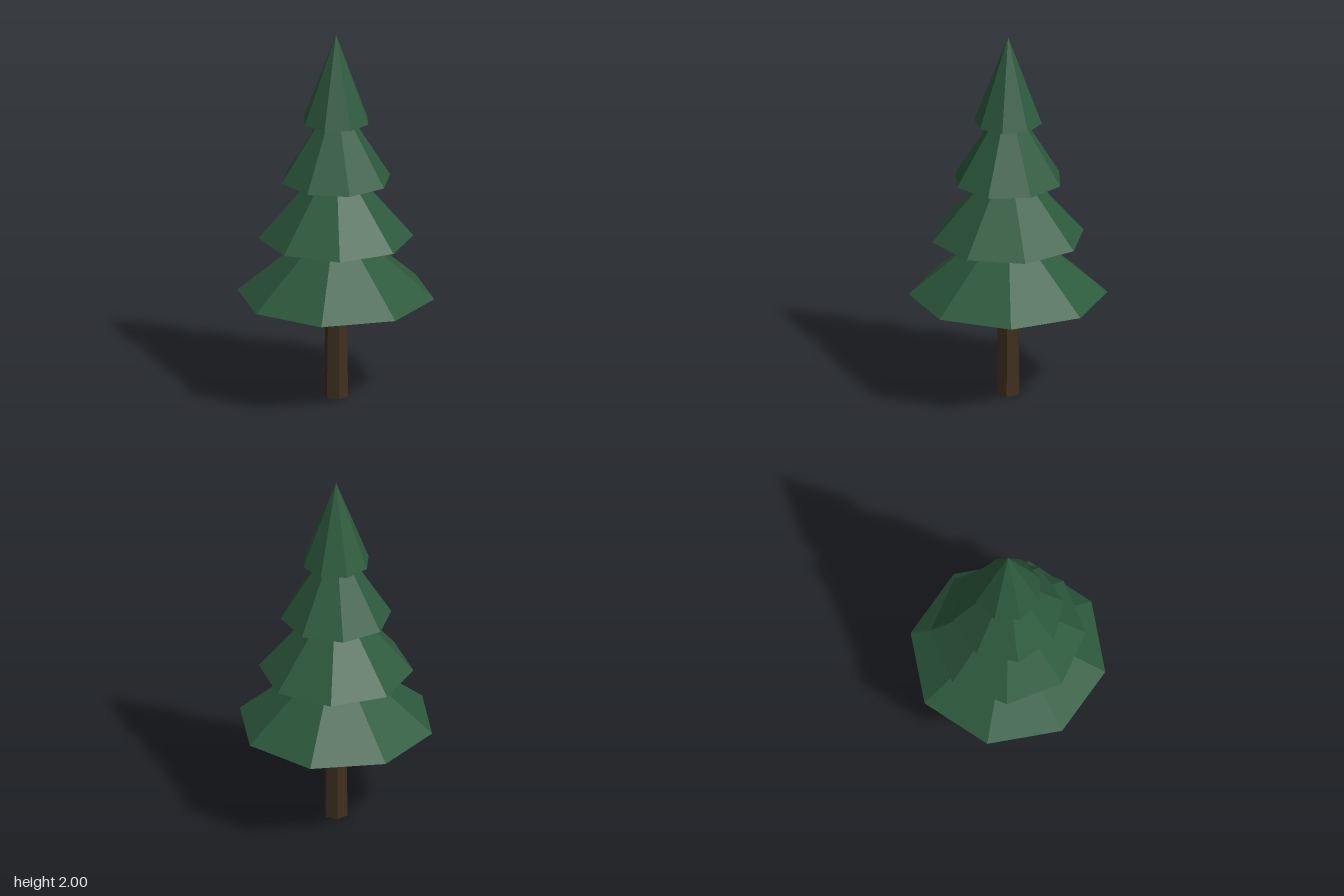
import * as THREE from 'three';

const needles = new THREE.MeshStandardMaterial({ color: 0x2d5a3d, flatShading: true });
needles.name = 'needleGreen';
const bark = new THREE.MeshStandardMaterial({ color: 0x3f2f1f, flatShading: true });
bark.name = 'barkBrown';

// Bottom height, rim height, rim radius, top height, top radius, twist in degrees
const tiers = [
  [0.517, 0.56, 0.52, 0.865, 0.161, 22.5],
  [0.845, 0.88, 0.405, 1.19, 0.14, -11.25],
  [1.17, 1.2, 0.292, 1.515, 0.097, 0],
  [1.5, 1.523, 0.18, 2, 0, 11.25],
];

export function createModel() {
  const tree = new THREE.Group();
  tree.name = 'pineTree';

  // Tapered six-sided trunk
  const trunk = new THREE.Mesh(new THREE.CylinderGeometry(0.057, 0.066, 0.53, 6), bark);
  trunk.name = 'trunk';
  trunk.position.y = 0.265;
  tree.add(trunk);

  // Eight-sided branch tiers with a shallow sloping underside, each twisted from the last
  tiers.forEach(([bottom, rim, radius, top, topRadius, twist], i) => {
    const profile = [[0, bottom], [radius * 0.365, bottom], [radius, rim], [topRadius, top]];
    if (topRadius > 0) profile.push([0, top]);
    const points = profile.map(([r, y]) => new THREE.Vector2(r, y));
    const geometry = new THREE.LatheGeometry(points, 8, THREE.MathUtils.degToRad(twist));
    const tier = new THREE.Mesh(geometry, needles);
    tier.name = `branchTier${i + 1}`;
    tree.add(tier);
  });

  return tree;
}
